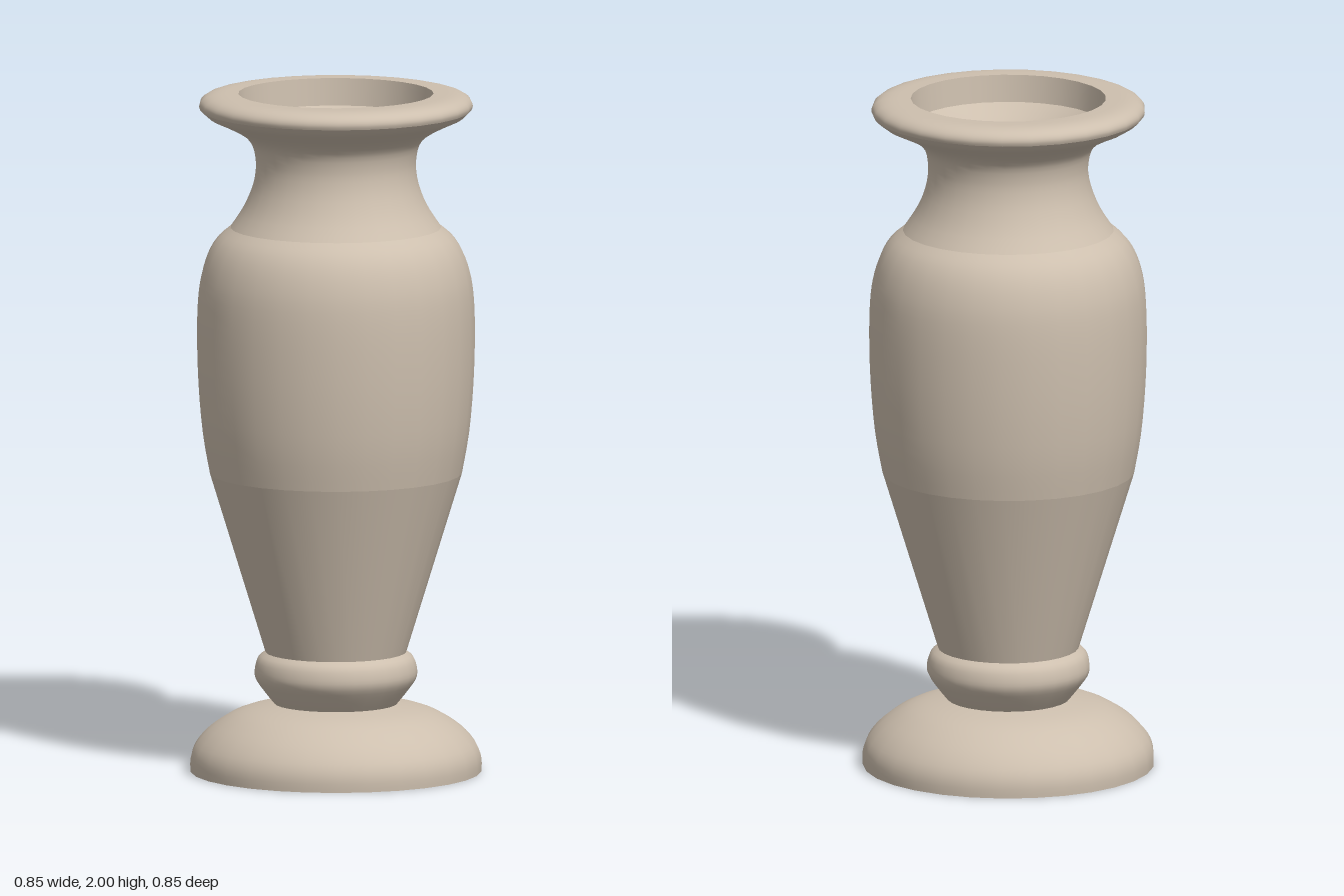
import * as THREE from 'three';

const SIDES = 29;
const material = new THREE.MeshStandardMaterial({ color: 0xcdbfae });

// Turn a [radius, height] profile around y; curved profiles are splined first.
function turned(name, profile, divisions = 0) {
  let points = profile.map(([r, y]) => new THREE.Vector2(r, y));
  if (divisions) points = new THREE.SplineCurve(points).getPoints(divisions);
  const mesh = new THREE.Mesh(new THREE.LatheGeometry(points, SIDES, Math.PI / 2), material);
  mesh.name = name;
  return mesh;
}

export function createModel() {
  const vase = new THREE.Group();
  vase.name = 'vase';
  vase.add(
    // Foot: flat underside and domed top
    turned('footUnderside', [[0, 0], [0.425, 0]]),
    turned('foot', [[0.425, 0], [0.425, 0.04], [0.41, 0.08], [0.37, 0.125], [0.31, 0.165], [0.25, 0.187], [0.18, 0.2]], 18),
    // Rounded collar between foot and body
    turned('collar', [[0.18, 0.2], [0.212, 0.24], [0.235, 0.275], [0.237, 0.305], [0.227, 0.335], [0.205, 0.352]], 14),
    // Body: straight taper, then a full belly up to the shoulder
    turned('bodyTaper', [[0.205, 0.35], [0.368, 0.88]]),
    turned('belly', [[0.368, 0.88], [0.389, 1.0], [0.402, 1.15], [0.406, 1.3], [0.402, 1.41], [0.39, 1.48], [0.37, 1.535], [0.343, 1.575], [0.308, 1.605]], 24),
    // Waisted neck flaring out to the lip
    turned('neck', [[0.308, 1.605], [0.272, 1.66], [0.246, 1.72], [0.235, 1.77], [0.235, 1.81], [0.245, 1.85], [0.272, 1.88], [0.32, 1.907], [0.37, 1.93], [0.396, 1.952]], 24),
    turned('lip', [[0.396, 1.952], [0.4, 1.965], [0.394, 1.98], [0.375, 1.993], [0.34, 2.0], [0.285, 2.0]], 14),
    // Hollow: mouth, throat, inner wall and floor
    turned('mouth', [[0.285, 2.0], [0.278, 1.92]]),
    turned('throat', [[0.278, 1.92], [0.225, 1.875], [0.188, 1.83], [0.175, 1.78], [0.19, 1.71], [0.24, 1.62], [0.3, 1.55], [0.34, 1.42], [0.345, 1.25], [0.335, 1.05], [0.31, 0.88]], 28),
    turned('innerTaper', [[0.31, 0.88], [0.165, 0.41], [0.145, 0.37]]),
    turned('floor', [[0.145, 0.37], [0, 0.37]]),
  );
  return vase;
}
